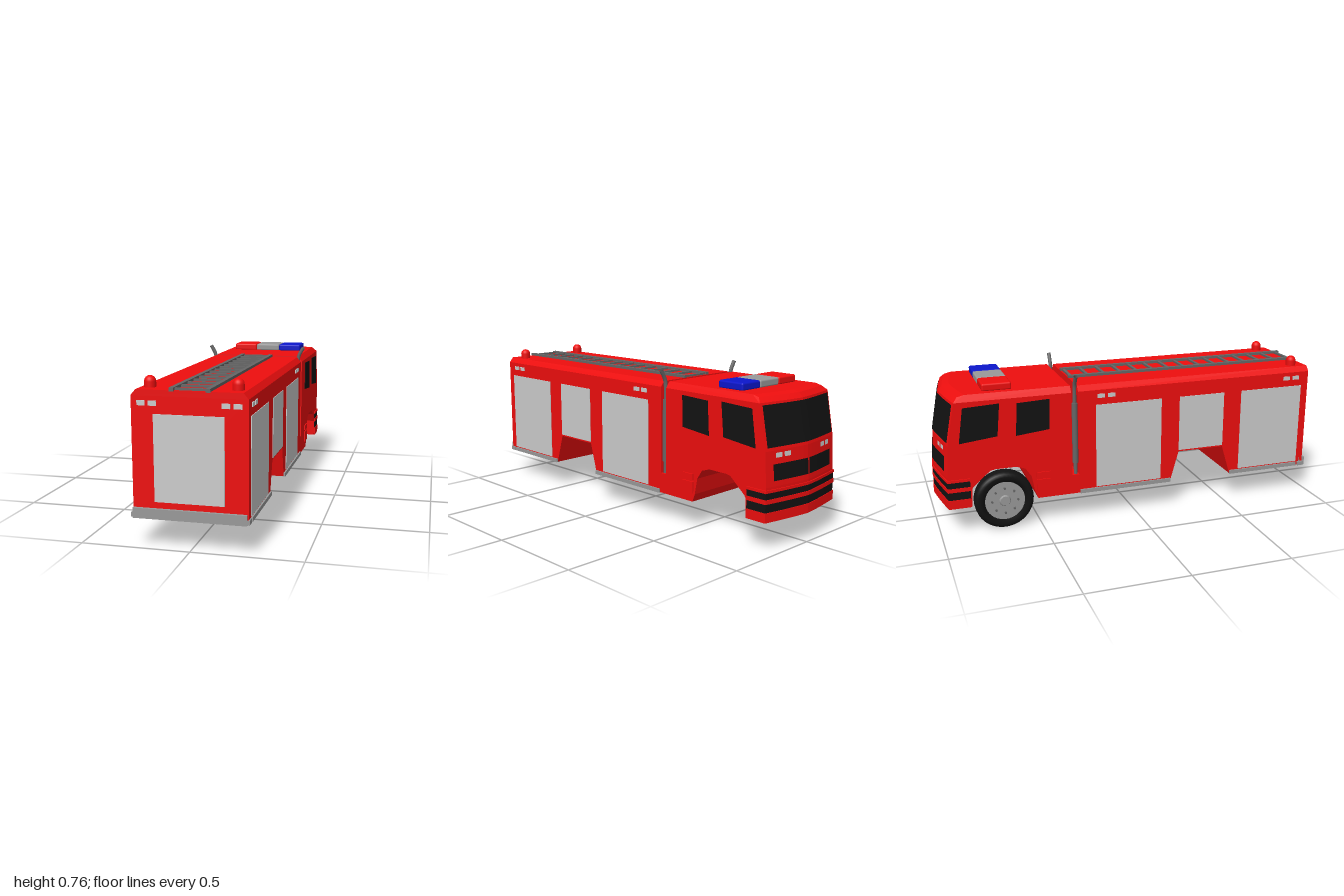
import * as THREE from 'three';
import { RoundedBoxGeometry } from 'three/addons/geometries/RoundedBoxGeometry.js';

const mat = (color, side = THREE.FrontSide) => new THREE.MeshStandardMaterial({ color, side });
const RED = mat(0xee0e0e), BLACK = mat(0x121212), GREY = mat(0xcccccc), DARK = mat(0x666666);
const STEEL = mat(0x999999), BLUE = mat(0x0c16cc), GLASS = mat(0x121212, THREE.DoubleSide);
const LAMP = mat(0xdddddd, THREE.DoubleSide);
const HALF = 0.257;

// Shallow bow of the cab front in plan
const bow = x => 0.042 * Math.pow(Math.abs(x) / 0.26, 1.25);

// Cab front line seen from the side, as [z, y]
const FRONT = [[-0.993, 0.14], [-0.995, 0.3], [-0.985, 0.46], [-0.946, 0.67]];
function frontZ(x, y) {
  let i = 0;
  while (i < FRONT.length - 2 && y > FRONT[i + 1][1]) i++;
  const [z0, y0] = FRONT[i], [z1, y1] = FRONT[i + 1];
  return z0 + (z1 - z0) * (y - y0) / (y1 - y0) + bow(x);
}

export function createModel() {
  const model = new THREE.Group();

  function add(name, geometry, material, x = 0, y = 0, z = 0, parent = model) {
    const mesh = new THREE.Mesh(geometry, material);
    mesh.name = name;
    mesh.position.set(x, y, z);
    parent.add(mesh);
    return mesh;
  }
  // Box given by its limits
  const box = (name, material, x0, x1, y0, y1, z0, z1) =>
    add(name, new THREE.BoxGeometry(x1 - x0, y1 - y0, z1 - z0), material,
      (x0 + x1) / 2, (y0 + y1) / 2, (z0 + z1) / 2);

  // Side outline of [z, y] points extruded across x, then reshaped by a rule
  function slab(name, material, outline, x0, x1, rule = null, steps = 1) {
    const shape = new THREE.Shape(outline.map(([z, y]) => new THREE.Vector2(-z, y)));
    const geo = new THREE.ExtrudeGeometry(shape, { depth: x1 - x0, steps, bevelEnabled: false });
    geo.rotateY(Math.PI / 2).translate(x0, 0, 0);
    if (rule) {
      const p = geo.attributes.position, v = new THREE.Vector3();
      for (let i = 0; i < p.count; i++) {
        rule(v.fromBufferAttribute(p, i));
        p.setXYZ(i, v.x, v.y, v.z);
      }
      geo.computeVertexNormals();
    }
    return add(name, geo, material);
  }
  const bend = v => { if (v.z < -0.86) v.z += bow(v.x); };
  const taper = v => { if (v.y > 0.69) v.x *= 0.235 / HALF; };

  // Thin panel lying on the bowed cab front
  function frontPanel(name, material, x0, x1, y0, y1, lift = 0.003) {
    const geo = new THREE.PlaneGeometry(x1 - x0, y1 - y0, 12, 4);
    geo.translate((x0 + x1) / 2, (y0 + y1) / 2, 0);
    const p = geo.attributes.position;
    for (let i = 0; i < p.count; i++) p.setZ(i, frontZ(p.getX(i), p.getY(i)) - lift);
    // turn the faces towards the cab's front
    geo.index.array.reverse();
    geo.computeVertexNormals();
    add(name, geo, material);
  }

  // Equipment body with rear wheel opening and chamfered roof
  slab('equipmentBody', RED, [[0.985, 0.14], [0.985, 0.672], [-0.3, 0.672], [-0.3, 0.24], [-0.34, 0.24],
    [-0.34, 0.14], [0.195, 0.14], [0.24, 0.3], [0.49, 0.3], [0.54, 0.14]], -HALF, HALF);
  slab('bodyRoof', RED, [[0.985, 0.672], [0.985, 0.698], [-0.3, 0.698], [-0.3, 0.672]], -HALF, HALF, taper);

  // Cab with front wheel arch and bowed nose
  slab('cab', RED, [[-0.335, 0.14], [-0.335, 0.67], ...[...FRONT].reverse(), [-0.845, 0.14], [-0.84, 0.23],
    [-0.81, 0.28], [-0.765, 0.312], [-0.72, 0.32], [-0.62, 0.32], [-0.575, 0.305], [-0.545, 0.26],
    [-0.53, 0.18], [-0.515, 0.14]], -HALF, HALF, bend, 16);
  slab('cabRoof', RED, [[-0.335, 0.67], [-0.335, 0.7], [-0.89, 0.7], [-0.925, 0.692], [-0.946, 0.67]],
    -HALF, HALF, v => { bend(v); taper(v); }, 16);

  // Windscreen, grille and nose bands
  frontPanel('windscreen', GLASS, -0.245, 0.245, 0.475, 0.66);
  for (const s of [-1, 1]) {
    const [a, b] = s > 0 ? [0.004, 0.215] : [-0.215, -0.004];
    frontPanel('grille', GLASS, a, b, 0.325, 0.4);
    for (const x of [0.132, 0.182])
      frontPanel('headlight', LAMP, s * x - 0.018, s * x + 0.018, 0.428, 0.45);
  }
  const band = (name, material, y0, y1, out) => slab(name, material,
    [[-0.848, y0], [-0.848, y1], [-0.994 - out, y1], [-0.994 - out, y0]],
    -HALF - out, HALF + out, bend, 16);
  band('noseBand', BLACK, 0.185, 0.225, 0.003);
  band('noseBand', BLACK, 0.245, 0.275, 0.003);
  for (const [y0, y1] of [[0.14, 0.185], [0.225, 0.245], [0.275, 0.288]])
    band('bumperRib', RED, y0, y1, 0.006);

  // Fittings on both sides
  const windows = [
    [[-0.69, 0.65], [-0.865, 0.642], [-0.89, 0.468], [-0.705, 0.488]],
    [[-0.445, 0.65], [-0.605, 0.643], [-0.615, 0.48], [-0.45, 0.497]]];
  for (const s of [-1, 1]) {
    const span = (inner, outer) => s > 0 ? [inner, outer] : [-outer, -inner];
    for (const w of windows) slab('sideWindow', BLACK, w, ...span(0.25, 0.26));
    for (const [z0, z1, y0] of [[0.59, 0.945, 0.163], [0.24, 0.49, 0.308], [-0.21, 0.14, 0.163]])
      box('rollerShutter', GREY, ...span(0.25, 0.26), y0, 0.597, z0, z1);
    for (const z of [0.91, 0.855, -0.128, -0.183])
      box('sideLamp', LAMP, ...span(0.25, 0.262), 0.632, 0.652, z - 0.019, z + 0.019);
    for (const [z0, z1] of [[0.54, 0.945], [-0.295, 0.195]])
      box('sideRail', STEEL, ...span(0.25, 0.265), 0.138, 0.158, z0, z1);
    for (const [y0, y1] of [[0.182, 0.24], [0.25, 0.278]])
      box('cabStep', RED, ...span(0.25, 0.263), y0, y1, -0.52, -0.45);
    for (const x of [0.161, 0.212])
      box('rearLamp', LAMP, s * x - 0.018, s * x + 0.018, 0.63, 0.652, 0.98, 0.989);

    // Exhaust stack standing in the gap behind the cab
    const path = new THREE.CatmullRomCurve3([[0.238, 0.24], [0.238, 0.45], [0.238, 0.66], [0.243, 0.705],
      [0.268, 0.752]].map(([x, y]) => new THREE.Vector3(s * x, y, -0.314)));
    add('exhaustPipe', new THREE.TubeGeometry(path, 24, 0.01, 10), mat(0x666666, THREE.DoubleSide));
    add('exhaustSilencer', new THREE.CylinderGeometry(0.015, 0.015, 0.31, 14), DARK, s * 0.238, 0.455, -0.314);

    // Rear beacon
    const dome = [new THREE.Vector2(0.026, 0)];
    for (let i = 0; i <= 8; i++) {
      const a = i / 8 * Math.PI / 2;
      dome.push(new THREE.Vector2(0.026 * Math.cos(a), 0.026 + 0.026 * Math.sin(a)));
    }
    add('beacon', new THREE.LatheGeometry(dome, 20), RED, s * 0.195, 0.697, 0.91);
  }

  // Rear shutter and bumper
  box('rearShutter', GREY, -0.158, 0.154, 0.21, 0.595, 0.98, 0.99);
  box('rearBumper', STEEL, -0.257, 0.252, 0.135, 0.181, 0.965, 1);
  box('rearBumperEnds', STEEL, -0.267, 0.263, 0.137, 0.158, 0.955, 0.992);

  // Roof ladder
  for (const x of [-0.075, 0.085]) box('ladderRail', DARK, x - 0.01, x + 0.01, 0.695, 0.711, -0.3, 0.99);
  for (let i = 0; i < 15; i++) {
    const z = -0.285 + i * 0.0893;
    box('ladderRung', DARK, -0.07, 0.08, 0.697, 0.708, z - 0.007, z + 0.007);
  }

  // Light bar
  for (const [x0, x1, m] of [[-0.2, -0.068, RED], [-0.068, 0.07, STEEL], [0.07, 0.198, BLUE]])
    add('lightBar', new RoundedBoxGeometry(x1 - x0, 0.038, 0.145, 3, 0.009), m, (x0 + x1) / 2, 0.716, -0.688);

  // Front wheel
  const wheel = new THREE.Group();
  wheel.name = 'frontWheel';
  wheel.position.set(-0.22, 0.148, -0.682);
  wheel.rotation.z = Math.PI / 2;
  model.add(wheel);
  const tyre = [[0.1, -0.036], [0.125, -0.042], [0.139, -0.036], [0.147, -0.022], [0.148, 0],
    [0.147, 0.022], [0.139, 0.036], [0.125, 0.042], [0.1, 0.036], [0.1, -0.036]];
  add('tyre', new THREE.LatheGeometry(tyre.map(p => new THREE.Vector2(...p)), 40), BLACK, 0, 0, 0, wheel);
  add('rim', new THREE.CylinderGeometry(0.101, 0.101, 0.066, 36), STEEL, 0, 0, 0, wheel);
  add('hub', new THREE.CylinderGeometry(0.024, 0.03, 0.012, 20), STEEL, 0, 0.037, 0, wheel);
  for (let i = 0; i < 8; i++) {
    const a = i / 8 * Math.PI * 2;
    add('wheelNut', new THREE.CylinderGeometry(0.006, 0.006, 0.01, 6), DARK,
      0.065 * Math.cos(a), 0.036, 0.065 * Math.sin(a), wheel);
  }
  return model;
}
